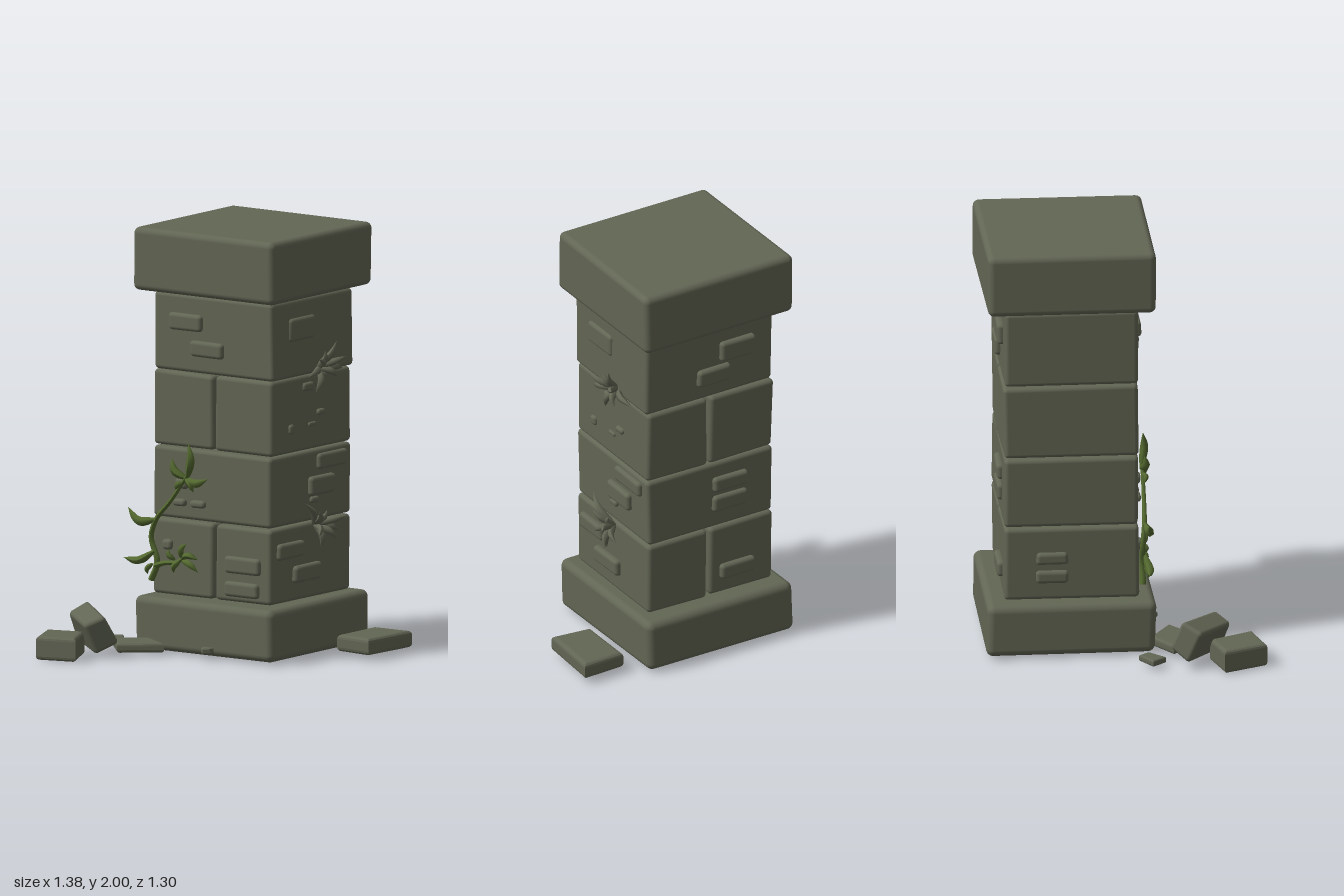
import * as THREE from 'three';
import { RoundedBoxGeometry } from 'three/addons/geometries/RoundedBoxGeometry.js';

const stone = new THREE.MeshStandardMaterial({ color: 0x626654 });
const vineGreen = new THREE.MeshStandardMaterial({ color: 0x53682f });

// Seeded random in -1..1
let seed = 7;
const rand = () => {
  seed = (seed * 16807) % 2147483647;
  return (seed / 2147483647) * 2 - 1;
};

const V = (a) => new THREE.Vector3(...a);

function add(parent, name, geometry, material = stone) {
  const mesh = new THREE.Mesh(geometry, material);
  mesh.name = name;
  parent.add(mesh);
  return mesh;
}

// Soft-edged block between two corners, its own corners nudged a little
function block(parent, name, [x0, y0, z0], [x1, y1, z1], radius, wobble = 0) {
  const size = [x1 - x0, y1 - y0, z1 - z0];
  const r = Math.min(radius, Math.min(...size) * 0.45);
  const g = new RoundedBoxGeometry(...size, 4, r);
  const nudge = Array.from({ length: 8 }, () => V([rand(), rand() * 0.4, rand()]).multiplyScalar(wobble));
  const p = g.attributes.position;
  for (let i = 0; i < p.count; i++) {
    const v = new THREE.Vector3().fromBufferAttribute(p, i);
    const t = [v.x / size[0] + 0.5, v.y / size[1] + 0.5, v.z / size[2] + 0.5];
    const moved = v.clone();
    nudge.forEach((n, c) => {
      const w = [0, 1, 2].reduce((m, k) => m * (c & (1 << k) ? t[k] : 1 - t[k]), 1);
      moved.addScaledVector(n, w);
    });
    p.setXYZ(i, moved.x, moved.y, moved.z);
  }
  const mesh = add(parent, name, g);
  mesh.position.set((x0 + x1) / 2, (y0 + y1) / 2, (z0 + z1) / 2);
  return mesh;
}

// Flat rubble stone from a top outline of [x, z] points
function slab(parent, name, outline, y0, y1, bevel = 0.014) {
  const shape = new THREE.Shape(outline.map(([x, z]) => new THREE.Vector2(x, -z)));
  const g = new THREE.ExtrudeGeometry(shape, {
    depth: y1 - y0 - 2 * bevel, bevelThickness: bevel, bevelSize: bevel, bevelOffset: -bevel, bevelSegments: 3,
  });
  g.rotateX(-Math.PI / 2);
  g.translate(0, y0 + bevel, 0);
  return add(parent, name, g);
}

// Tube along a curve whose thickness follows a profile
function taperedTube(points, radius, profile, segments = 12) {
  const curve = new THREE.CatmullRomCurve3(points.map(V));
  const sides = 6;
  const g = new THREE.TubeGeometry(curve, segments, radius, sides);
  const p = g.attributes.position;
  for (let i = 0; i < p.count; i++) {
    const t = Math.floor(i / (sides + 1)) / segments;
    const c = curve.getPointAt(t);
    const v = new THREE.Vector3().fromBufferAttribute(p, i).sub(c).multiplyScalar(profile(t)).add(c);
    p.setXYZ(i, v.x, v.y, v.z);
  }
  g.computeVertexNormals();
  return g;
}

// Pointed leaf that swells in the middle and bows along "bow"
function leaf(parent, from, to, bow, width, material) {
  const mid = from.map((f, i) => (f + to[i]) / 2 + bow[i]);
  const g = taperedTube([from, mid, to], width, (t) => Math.max(0.02, 0.35 * (1 - t) + Math.sin(Math.PI * t) * 0.8));
  add(parent, 'leaf', g, material);
}

export function createModel() {
  const model = new THREE.Group();
  model.name = 'ruinedPillar';

  // Base, four courses of blocks and the cap
  block(model, 'base', [-0.41, 0.01, -0.65], [0.385, 0.26, 0.14], 0.035, 0.008);
  const courses = [
    [0.268, 0.625, true], [0.63, 0.967, false], [0.971, 1.324, true], [1.327, 1.694, false],
  ];
  courses.forEach(([y0, y1, split], i) => {
    const left = -0.35, right = i === 3 ? 0.345 : 0.335;
    const spans = split ? [[left, -0.003], [0.01, right]] : [[left, right]];
    for (const [a, b] of spans) block(model, 'shaftBlock', [a, y0, -0.565], [b, y1, 0.065], 0.02, 0.005);
  });
  block(model, 'cap', [-0.417, 1.702, -0.647], [0.4, 2, 0.14], 0.03, 0.004);

  // Raised bricks: [position along face, y, width, height]
  const front = [
    [-0.155, 1.565, 0.19, 0.08], [-0.03, 1.445, 0.19, 0.075], [0.175, 0.445, 0.2, 0.08], [0.17, 0.33, 0.19, 0.07],
    [-0.26, 0.505, 0.055, 0.05], [-0.18, 0.8, 0.07, 0.05], [-0.19, 0.71, 0.07, 0.035], [-0.085, 0.71, 0.08, 0.035],
  ];
  const back = [
    [-0.15, 1.555, 0.19, 0.1], [-0.02, 1.445, 0.18, 0.085], [-0.11, 0.855, 0.19, 0.075],
    [-0.11, 0.755, 0.19, 0.08], [-0.15, 0.385, 0.19, 0.075],
  ];
  const rightSide = [
    [-0.16, 1.555, 0.2, 0.11], [-0.4, 0.905, 0.22, 0.075], [-0.32, 0.795, 0.19, 0.09], [-0.08, 0.515, 0.2, 0.075],
    [-0.21, 0.395, 0.21, 0.08], [-0.22, 1.27, 0.08, 0.04], [-0.09, 1.085, 0.045, 0.045], [-0.25, 1.09, 0.05, 0.02],
    [-0.32, 1.14, 0.06, 0.03], [-0.27, 0.73, 0.06, 0.03],
  ];
  const leftSide = [[-0.34, 0.475, 0.15, 0.06], [-0.34, 0.385, 0.15, 0.06]];
  const bricksOnZ = (list, z) => list.forEach(([x, y, w, h]) =>
    block(model, 'raisedBrick', [x - w / 2, y - h / 2, z - 0.025], [x + w / 2, y + h / 2, z + 0.025], 0.018, 0.004));
  const bricksOnX = (list, x) => list.forEach(([z, y, w, h]) => {
    const d = w < 0.1 ? 0.016 : 0.025;
    block(model, 'raisedBrick', [x - d, y - h / 2, z - w / 2], [x + d, y + h / 2, z + w / 2], 0.018, 0.004);
  });
  bricksOnZ(front, 0.062);
  bricksOnZ(back, -0.562);
  bricksOnX(rightSide, 0.333);
  bricksOnX(leftSide, -0.344);

  // Fallen rubble
  slab(model, 'rubbleBlock', [[-0.69, 0.44], [-0.51, 0.385], [-0.41, 0.59], [-0.6, 0.645]], 0, 0.112, 0.018);
  slab(model, 'rubbleSlab', [[-0.47, 0.22], [-0.33, 0.12], [-0.17, 0.22], [-0.34, 0.36]], 0.02, 0.066);
  slab(model, 'rubbleChip', [[-0.62, 0.11], [-0.53, 0.05], [-0.49, 0.1], [-0.565, 0.175]], 0.018, 0.05, 0.01);
  slab(model, 'rubblePebble', [[-0.01, 0.13], [0.055, 0.13], [0.05, 0.16], [0.025, 0.185], [0, 0.16]], 0.025, 0.055, 0.008);
  slab(model, 'rubbleSideSlab', [[0.47, -0.56], [0.685, -0.568], [0.67, -0.248], [0.47, -0.27]], 0.025, 0.105, 0.02);
  const leaning = block(model, 'rubbleLeaningBlock', [-0.14, -0.08, -0.06], [0.14, 0.08, 0.06], 0.02, 0.012);
  leaning.position.set(-0.495, 0.125, 0.345);
  leaning.rotation.set(0.42, -0.68, -0.1, 'YXZ');

  // Climbing vine on the front
  const vine = new THREE.Group();
  vine.name = 'vine';
  model.add(vine);
  const stemProfile = (t) => 1 - 0.45 * t;
  const Z = 0.085;
  const stems = [
    [[-0.345, 0.33, Z], [-0.31, 0.42, Z], [-0.345, 0.53, Z], [-0.31, 0.62, 0.095], [-0.22, 0.72, 0.1], [-0.13, 0.84, 0.1]],
    [[-0.32, 0.4, Z], [-0.26, 0.42, 0.1], [-0.19, 0.43, 0.095], [-0.14, 0.46, 0.1]],
  ];
  stems.forEach((s) => add(vine, 'stem', taperedTube(s, 0.015, stemProfile, 30), vineGreen));
  // Leaves: root x, y, tip x, y, bow x, y, width
  [
    [-0.31, 0.62, -0.465, 0.665, -0.01, -0.035, 0.022], [-0.32, 0.47, -0.49, 0.425, 0.01, -0.025, 0.021],
    [-0.13, 0.83, -0.115, 1.0, 0.025, 0.01, 0.02], [-0.13, 0.83, -0.21, 0.92, -0.02, -0.01, 0.02],
    [-0.13, 0.83, -0.005, 0.84, 0, -0.02, 0.02], [-0.14, 0.83, -0.085, 0.77, 0.01, 0.01, 0.016],
    [-0.15, 0.81, -0.19, 0.775, 0, 0.01, 0.014], [-0.16, 0.45, -0.125, 0.525, -0.01, 0.01, 0.016],
    [-0.16, 0.45, -0.06, 0.455, 0, 0.018, 0.017], [-0.16, 0.44, -0.06, 0.395, 0.01, 0.01, 0.017],
    [-0.17, 0.44, -0.2, 0.38, -0.01, 0, 0.015], [-0.2, 0.44, -0.23, 0.49, -0.01, 0, 0.013],
    [-0.33, 0.41, -0.35, 0.36, -0.01, 0, 0.013],
  ].forEach(([x, y, tx, ty, bx, by, w]) =>
    leaf(vine, [x, y, 0.095], [tx, ty, 0.105], [bx, by, 0.012], w, vineGreen));

  // Withered leaf tufts on the right side: leaf tips as z, y, x
  const tuft = (z, y, tips) => {
    const group = new THREE.Group();
    group.name = 'leafTuft';
    model.add(group);
    tips.forEach(([tz, ty, tx]) => leaf(group, [0.335, y, z], [tx, ty, tz], [0.025, 0.008, 0], 0.017, stone));
  };
  tuft(-0.3, 1.35, [
    [-0.34, 1.475, 0.415], [-0.27, 1.44, 0.4], [-0.19, 1.41, 0.43], [-0.16, 1.325, 0.385],
    [-0.24, 1.24, 0.37], [-0.37, 1.3, 0.4], [-0.46, 1.33, 0.36], [-0.39, 1.4, 0.43],
  ]);
  tuft(-0.27, 0.61, [
    [-0.14, 0.735, 0.375], [-0.2, 0.69, 0.42], [-0.21, 0.57, 0.41], [-0.27, 0.505, 0.38],
    [-0.33, 0.54, 0.43], [-0.38, 0.58, 0.4], [-0.36, 0.655, 0.46], [-0.3, 0.68, 0.39],
  ]);

  return model;
}
